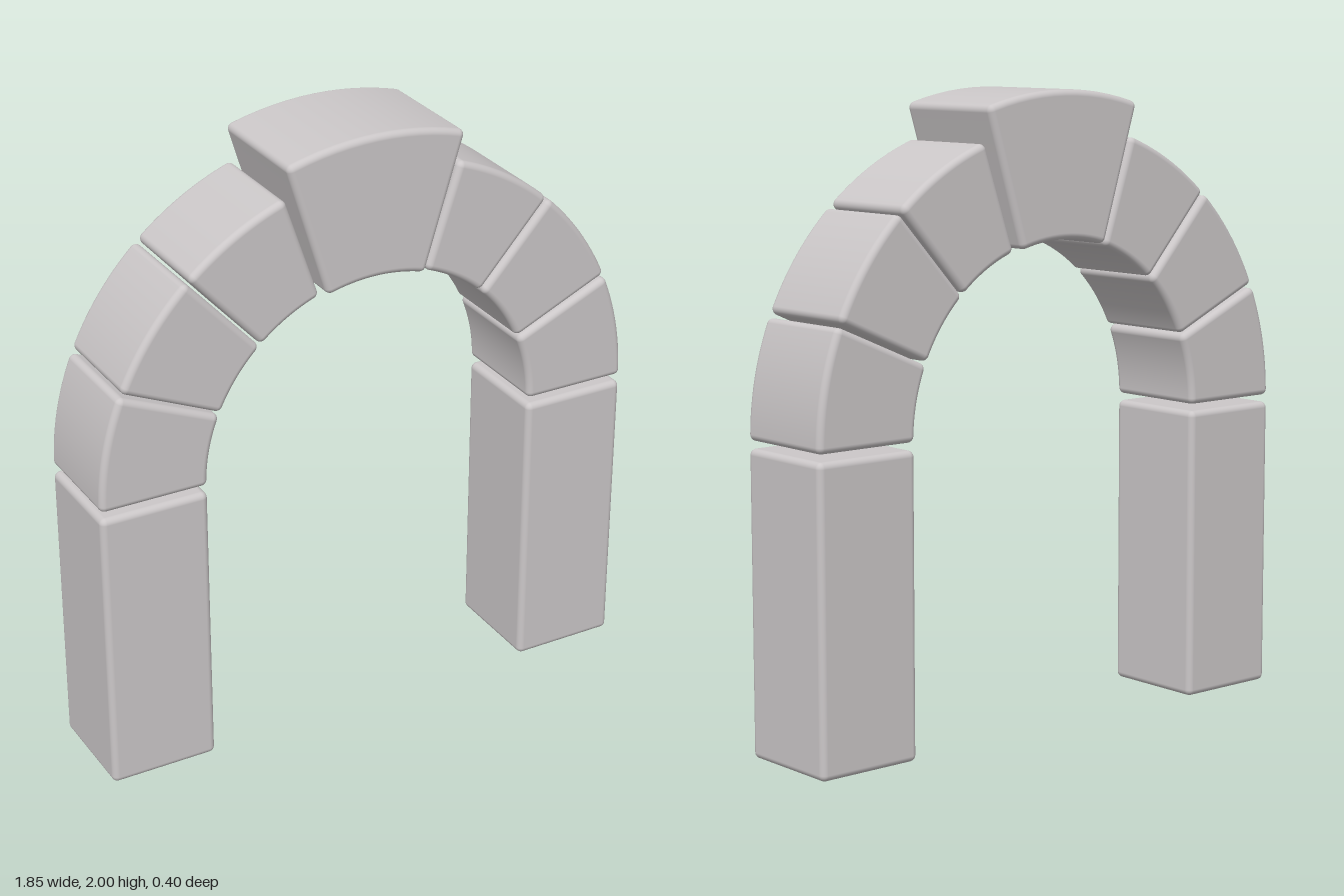
import * as THREE from 'three';

const CENTRE_Y = 0.973;   // springing line of the arch
const R_IN = 0.57, R_OUT = 0.925;
const DEPTH = 0.357;
const BEVEL = 0.02, STEPS = 4;   // rounded edge radius and its subdivisions

// Grid index -> t (0 on the flat middle, towards -1 / +1 across the rounded edges)
// and s (0..1 across the flat middle).
function split(i, mid) {
  const n = mid + 2 * STEPS;
  const tan = (k) => Math.tan((k / STEPS) * Math.PI / 4);
  if (i < STEPS) return { t: -tan(STEPS - i), s: 0 };
  if (i > n - STEPS) return { t: tan(i - (n - STEPS)), s: 1 };
  return { t: 0, s: (i - STEPS) / mid };
}

// Box with rounded edges; place(sx, sy, sz) gives the core point and the local turn angle.
function roundedBlock(mid, place) {
  const n = mid.map((m) => m + 2 * STEPS);
  const geo = new THREE.BoxGeometry(...n, ...n);
  const pos = geo.attributes.position, nor = geo.attributes.normal;
  const dir = new THREE.Vector3(), zAxis = new THREE.Vector3(0, 0, 1);
  for (let k = 0; k < pos.count; k++) {
    const [x, y, z] = [pos.getX(k), pos.getY(k), pos.getZ(k)]
      .map((p, a) => split(Math.round(p + n[a] / 2), mid[a]));
    const { core, turn } = place(x.s, y.s, z.s);
    dir.set(x.t, y.t, z.t).normalize().applyAxisAngle(zAxis, turn);
    nor.setXYZ(k, dir.x, dir.y, dir.z);
    core.addScaledVector(dir, BEVEL);
    pos.setXYZ(k, core.x, core.y, core.z);
  }
  geo.computeBoundingSphere();
  return geo;
}

const lerp = THREE.MathUtils.lerp;

// Straight pillar stone between two corners
function pillarGeometry(x0, x1, y0, y1, depth) {
  const b = BEVEL, h = depth / 2 - b;
  return roundedBlock([1, 1, 1], (sx, sy, sz) => ({
    core: new THREE.Vector3(lerp(x0 + b, x1 - b, sx), lerp(y0 + b, y1 - b, sy), lerp(-h, h, sz)),
    turn: 0,
  }));
}

// Wedge stone bent round the arch centre, angles in degrees from +x
function wedgeGeometry(a0, a1, r0, r1, depth) {
  const b = BEVEL, h = depth / 2 - b;
  return roundedBlock([12, 1, 1], (sx, sy, sz) => {
    const r = lerp(r0 + b, r1 - b, sy);
    const inset = Math.asin(b / r);
    const a = lerp(THREE.MathUtils.degToRad(a1) - inset, THREE.MathUtils.degToRad(a0) + inset, sx);
    return {
      core: new THREE.Vector3(r * Math.cos(a), CENTRE_Y + r * Math.sin(a), lerp(-h, h, sz)),
      turn: a - Math.PI / 2,
    };
  });
}

export function createModel() {
  const arch = new THREE.Group();
  arch.name = 'stoneArch';
  const stone = new THREE.MeshStandardMaterial({ color: 0xcbc7c8 });
  stone.name = 'pale stone';

  const add = (name, geo) => {
    const mesh = new THREE.Mesh(geo, stone);
    mesh.name = name;
    arch.add(mesh);
  };

  // Pillars and the three wedge stones on each side
  const wedges = [[0, 23.4], [24.15, 47.6], [48.2, 71.3]];
  for (const side of ['left', 'right']) {
    const left = side === 'left';
    add(side + 'Pillar', left
      ? pillarGeometry(R_IN, R_OUT, 0, 0.95, DEPTH)
      : pillarGeometry(-R_OUT, -R_IN, 0, 0.95, DEPTH));
    wedges.forEach(([a, b], i) => add(`${side}ArchStone${i + 1}`, left
      ? wedgeGeometry(a, b, R_IN, R_OUT, DEPTH)
      : wedgeGeometry(180 - b, 180 - a, R_IN, R_OUT, DEPTH)));
  }

  // Larger keystone at the crown
  add('keystone', wedgeGeometry(72.9, 107.1, R_IN, 2 - CENTRE_Y, 0.402));
  return arch;
}
